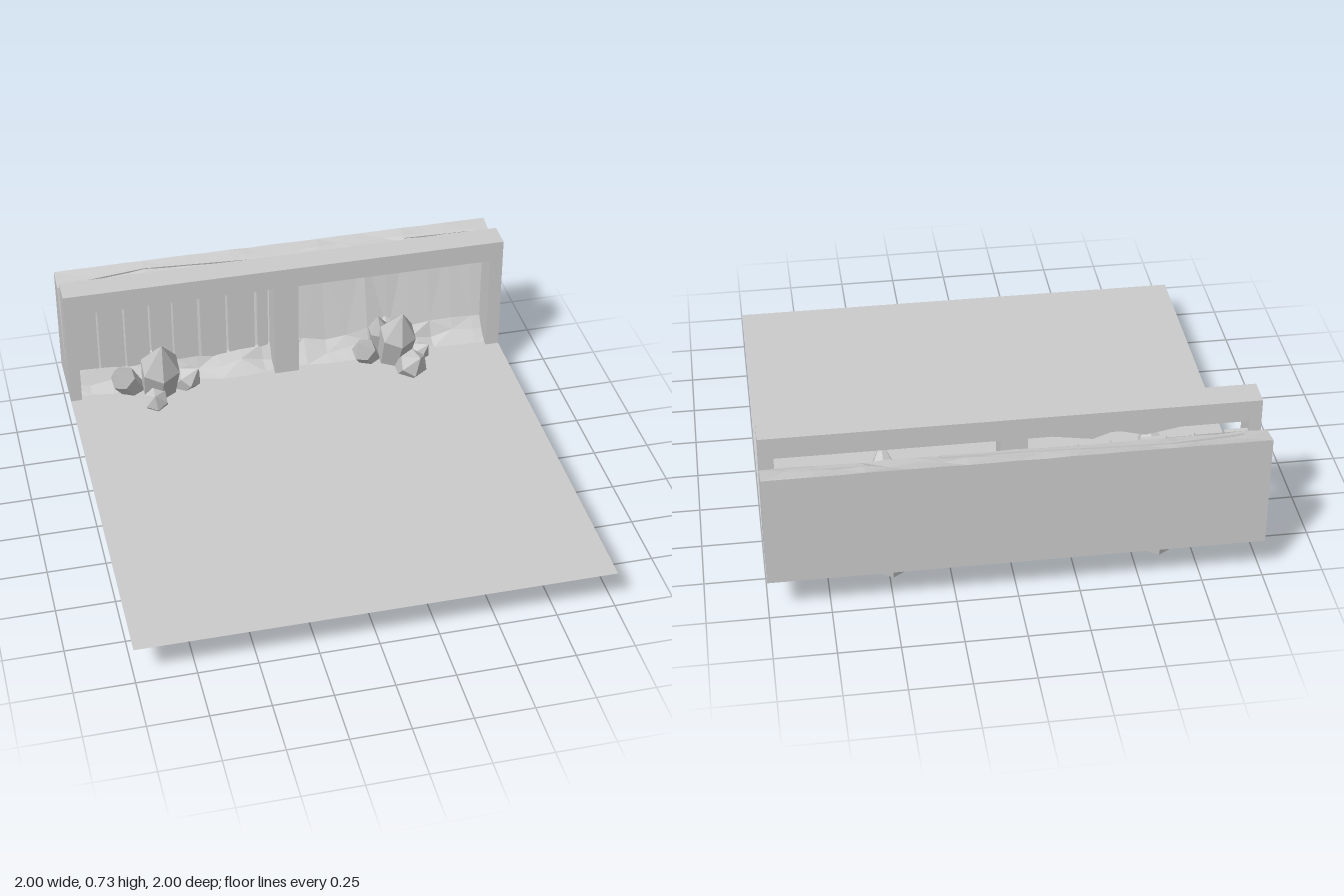
import * as THREE from 'three';

export function createModel() {
  const model = new THREE.Group();
  // Double sided because the floor and the rock bank are open sheets
  const stone = new THREE.MeshStandardMaterial({ color: 0xcccccc, flatShading: true, side: THREE.DoubleSide });
  stone.name = 'pale grey stone';

  const add = (name, geometry, parent = model) => {
    const mesh = new THREE.Mesh(geometry, stone);
    mesh.name = name;
    parent.add(mesh);
    return mesh;
  };
  const extrude = (points, depth) => {
    const shape = new THREE.Shape(points.map(([x, y]) => new THREE.Vector2(x, y)));
    return new THREE.ExtrudeGeometry(shape, { depth, bevelEnabled: false });
  };
  let seed = 7;
  const jitter = (a) => {
    seed = (seed * 16807) % 2147483647;
    return (seed / 2147483647 - 0.5) * 2 * a;
  };

  // Ground sheet
  add('floor', new THREE.PlaneGeometry(2, 1.76).rotateX(-Math.PI / 2).translate(0, 0.18, 0.12));

  // Frame with two bays open at the bottom
  const frame = extrude([
    [-1, 0.18], [-0.95, 0.18], [-0.95, 0.64], [-0.06, 0.64], [-0.06, 0.18],
    [0.05, 0.18], [0.05, 0.64], [0.94, 0.64], [0.94, 0.18], [1, 0.18], [1, 0.735], [-1, 0.735],
  ], 0.12);
  add('frame', frame.translate(0, 0, -0.81));

  // Upright planks in the first bay: left edge, right edge, top
  for (const [x0, x1, top] of [
    [-0.945, -0.85, 0.605], [-0.84, -0.73, 0.605], [-0.72, -0.615, 0.603], [-0.605, -0.51, 0.6],
    [-0.5, -0.392, 0.6], [-0.377, -0.262, 0.595], [-0.25, -0.13, 0.588], [-0.115, -0.068, 0.578],
  ]) {
    const g = new THREE.BoxGeometry(x1 - x0, top - 0.2, 0.02);
    add('plank', g.translate((x0 + x1) / 2, (top + 0.2) / 2, -0.815));
  }

  // Rock bank: z, y section from the front foot over the top to the back foot
  const section = [[-0.715, 0.18], [-0.77, 0.215], [-0.808, 0.265], [-0.9, 0.655], [-0.95, 0.665], [-1, 0.675], [-1, 0.18]];
  const spread = [[0.015, 0], [0.015, 0.018], [0.004, 0.025], [0.004, 0.002], [0.015, 0.004], [0, 0.002], [0, 0]];
  const columns = 20;
  const n = section.length;
  const position = [];
  const index = [];
  for (let i = 0; i <= columns; i++) {
    const rough = i === 0 || i === columns ? 0 : 1;
    section.forEach(([z, y], j) => {
      const dz = jitter(spread[j][0]) * rough;
      const dy = jitter(spread[j][1]) * rough;
      position.push(-1 + (2 * i) / columns, y + dy, z + dz);
    });
  }
  for (let i = 0; i < columns; i++) {
    for (let j = 0; j < n - 1; j++) {
      const a = i * n + j;
      const b = a + n;
      // Alternate the diagonals for a faceted surface
      if ((i + j) % 2) index.push(a, b, b + 1, a, b + 1, a + 1);
      else index.push(a, b, a + 1, b, b + 1, a + 1);
    }
  }
  const bank = new THREE.BufferGeometry();
  bank.setAttribute('position', new THREE.Float32BufferAttribute(position, 3));
  bank.setIndex(index);
  bank.computeVertexNormals();
  add('rockBank', bank);

  // End faces of the bank
  for (const side of [-1, 1]) {
    const shape = new THREE.Shape(section.map(([z, y]) => new THREE.Vector2(-side * z, y)));
    add('rockEnd', new THREE.ShapeGeometry(shape).rotateY((side * Math.PI) / 2).translate(side, 0, 0));
  }

  // Thin slabs lying on the sloping top, drawn in x and distance back from the bank's edge
  for (const points of [
    [[-0.9, 0.015], [-0.6, 0.048], [-0.1, 0.018], [0.3, 0.008], [0.3, 0.025], [0, 0.033], [-0.6, 0.065], [-0.9, 0.032]],
    [[0.6, 0.03], [0.9, 0.022], [0.9, 0.04], [0.6, 0.05]],
  ]) {
    add('topSlab', extrude(points, 0.009).rotateX(-Math.PI / 2 + 0.197).translate(0, 0.652, -0.9));
  }

  // Low ridges of rock under the lintel
  for (const [x0, xm, x1] of [[-0.69, -0.53, -0.42], [-0.4, -0.32, -0.14]]) {
    const ridge = extrude([[x0, 0.642], [xm, 0.613], [x1, 0.642]], 0.006);
    add('lintelRidge', ridge.translate(0, 0, -0.809));
  }

  // Six-sided crystals, each from a base point to a tip
  const crystal = (group, base, tip, radius, shoulder) => {
    const start = new THREE.Vector3(...base);
    const axis = new THREE.Vector3(...tip).sub(start);
    const l = axis.length();
    const profile = [[0, 0], [radius * 0.75, 0], [radius, l * shoulder], [0, l]];
    const g = new THREE.LatheGeometry(profile.map(([x, y]) => new THREE.Vector2(x, y)), 6);
    const mesh = add('crystal', g, group);
    mesh.position.copy(start);
    mesh.quaternion.setFromUnitVectors(new THREE.Vector3(0, 1, 0), axis.normalize());
  };
  const cluster = (name, list) => {
    const group = new THREE.Group();
    group.name = name;
    model.add(group);
    list.forEach((c) => crystal(group, ...c));
  };
  cluster('crystalClusterRight', [
    [[-0.6, 0.035, -0.76], [-0.6, 0.52, -0.54], 0.092, 0.68],
    [[-0.65, 0.07, -0.78], [-0.8, 0.345, -0.65], 0.06, 0.74],
    [[-0.55, 0.07, -0.78], [-0.425, 0.305, -0.635], 0.057, 0.74],
    [[-0.6, 0.06, -0.71], [-0.645, 0.275, -0.51], 0.055, 0.8],
    [[-0.6, 0.05, -0.81], [-0.6, 0.33, -0.84], 0.07, 0.75],
  ]);
  cluster('crystalClusterLeft', [
    [[0.49, 0.03, -0.76], [0.5, 0.505, -0.56], 0.085, 0.7],
    [[0.51, 0.05, -0.72], [0.565, 0.31, -0.475], 0.066, 0.75],
    [[0.54, 0.07, -0.78], [0.65, 0.26, -0.64], 0.047, 0.75],
    [[0.45, 0.07, -0.78], [0.32, 0.31, -0.65], 0.057, 0.75],
    [[0.47, 0.06, -0.8], [0.42, 0.42, -0.69], 0.05, 0.75],
    [[0.49, 0.05, -0.81], [0.49, 0.33, -0.84], 0.07, 0.75],
  ]);

  return model;
}
